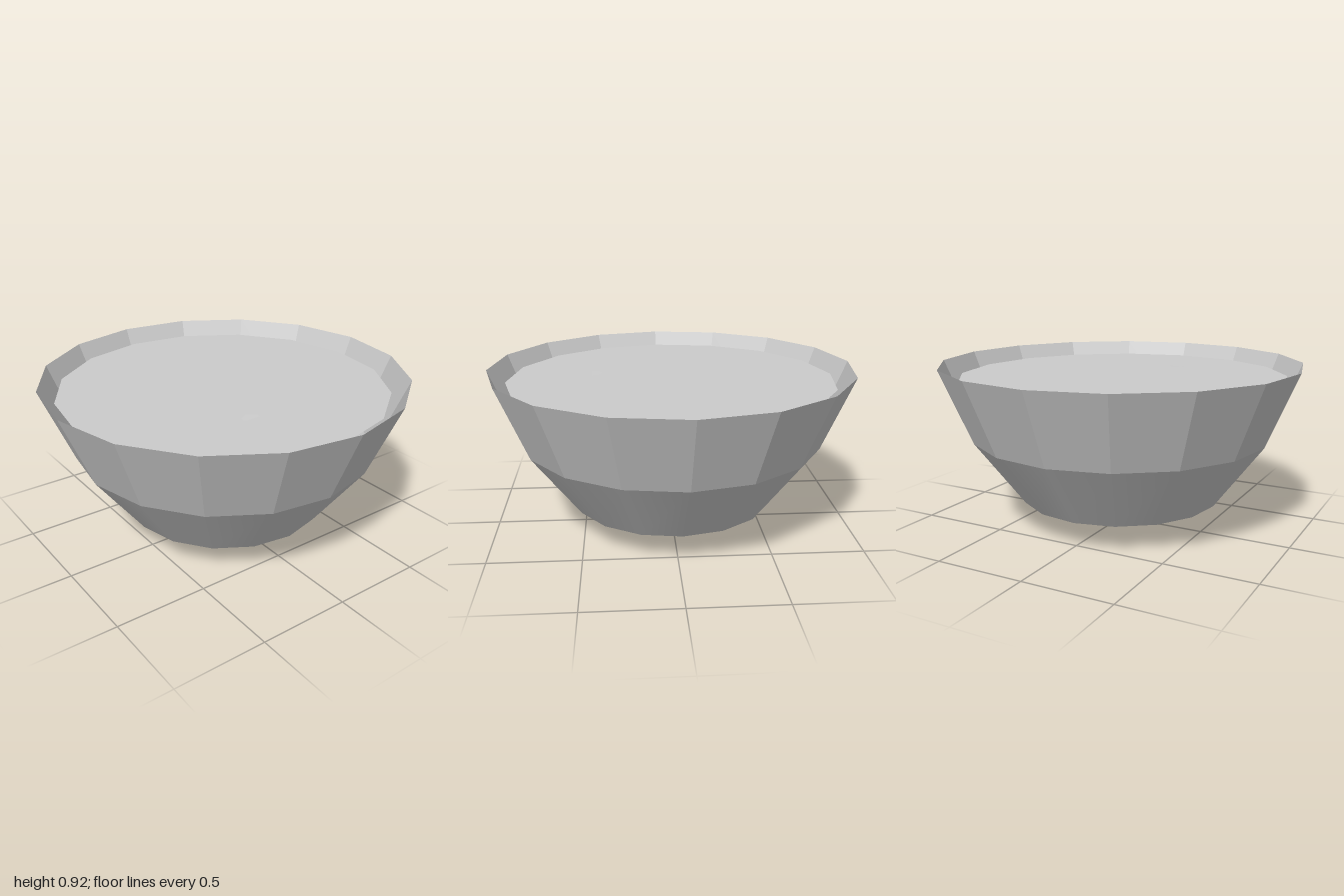
import * as THREE from 'three';

const SIDES = 16;
const TURN = 0.042;

function material(flatShading = false) {
  return new THREE.MeshStandardMaterial({ color: 0xcccccc, flatShading, side: THREE.DoubleSide });
}

// Open tapered band of the bowl wall between two heights
function band(name, rTop, rBottom, yTop, yBottom, flat) {
  const geo = new THREE.CylinderGeometry(rTop, rBottom, yTop - yBottom, SIDES, 1, true);
  geo.translate(0, (yTop + yBottom) / 2, 0);
  const mesh = new THREE.Mesh(geo, material(flat));
  mesh.name = name;
  mesh.rotation.y = TURN;
  return mesh;
}

// Flat disc facing up
function disc(name, radius, sides, x, y, z, turn = 0) {
  const geo = new THREE.CircleGeometry(radius, sides, Math.PI / 2);
  geo.rotateX(-Math.PI / 2);
  const mesh = new THREE.Mesh(geo, material());
  mesh.name = name;
  mesh.position.set(x, y, z);
  mesh.rotation.y = turn;
  return mesh;
}

export function createModel() {
  const model = new THREE.Group();
  model.name = 'bowlOfSoup';

  // Thin bowl shell: faceted rim, smooth belly, shallow pointed base
  const bowl = new THREE.Group();
  bowl.name = 'bowl';
  bowl.add(
    band('rimWall', 1.0, 0.83, 0.915, 0.51, true),
    band('bellyWall', 0.83, 0.56, 0.51, 0.15, false),
    band('base', 0.56, 0, 0.15, 0, false)
  );
  model.add(bowl);

  // Soup surface just below the rim
  model.add(disc('soupSurface', 0.907, SIDES, -0.01, 0.842, 0, TURN));

  // Six-sided pieces floating on the soup: x, z, radius
  const pieces = new THREE.Group();
  pieces.name = 'floatingPieces';
  const spots = [
    [0.065, -0.61, 0.065], [-0.315, -0.4, 0.05], [0.48, -0.215, 0.053],
    [-0.52, 0.15, 0.087], [0.36, 0.405, 0.087],
    [0.18, -0.28, 0.033], [-0.08, -0.12, 0.033], [-0.335, -0.05, 0.033],
    [0.265, -0.015, 0.033], [0.155, 0.065, 0.033], [-0.06, 0.1, 0.033], [-0.255, 0.21, 0.033],
  ];
  for (const [x, z, r] of spots) pieces.add(disc('floatingPiece', r, 6, x, 0.872, z));

  // One piece lies half sunk
  const sunk = disc('sunkenPiece', 0.055, 6, -0.15, 0.842, 0.44);
  sunk.rotation.x = 0.05;
  pieces.add(sunk);
  model.add(pieces);

  return model;
}
